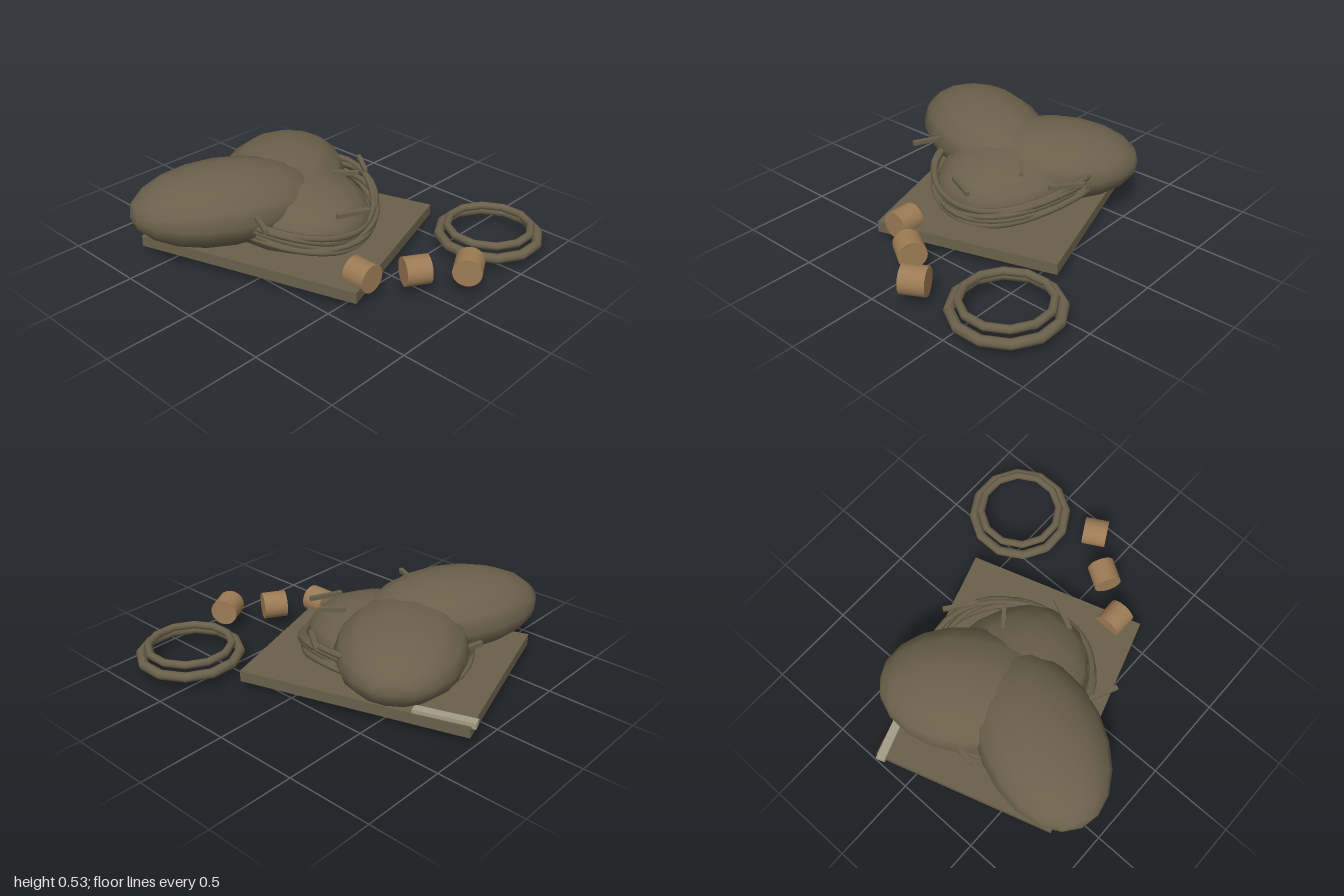
import * as THREE from 'three';

export function createModel() {
  const group = new THREE.Group();
  const mat = (name, color) => {
    const m = new THREE.MeshStandardMaterial({ color });
    m.name = name;
    return m;
  };
  const olive = mat('oliveCloth', 0x6a614b);
  const cork = mat('corkBrown', 0x9c7b55);
  const pale = mat('paleEdge', 0xa39c84);
  const add = (name, geo, material, x = 0, y = 0, z = 0, turn = 0) => {
    const mesh = new THREE.Mesh(geo, material);
    mesh.name = name;
    mesh.position.set(x, y, z);
    mesh.rotation.y = turn;
    group.add(mesh);
    return mesh;
  };

  // Ground sheet with a pale folded strip at one corner
  const turn = 0.307;
  add('groundSheet', new THREE.BoxGeometry(1.32, 0.065, 1.06), olive, -0.195, 0.0875, 0.085, turn);
  const fold = new THREE.BoxGeometry(0.34, 0.035, 0.05);
  add('foldedStrip', fold, pale, -0.835, 0.124, -0.235, 0.34);

  // Sacks: low-poly ellipsoids with their poles on the long axis
  const sack = (name, center, radii, angle) => {
    const geo = new THREE.SphereGeometry(1, 14, 10);
    geo.rotateX(Math.PI / 2);
    geo.scale(...radii);
    add(name, geo, olive, ...center, angle);
  };
  sack('frontSack', [-0.35, 0.325, 0.44], [0.345, 0.212, 0.525], -0.44);
  sack('rearSack', [-0.395, 0.285, -0.05], [0.365, 0.206, 0.5], 0.6);
  sack('middleSack', [-0.19, 0.217, 0.075], [0.4, 0.217, 0.49], Math.PI / 2);

  // Ropes wound around the sacks, dipping at both sides
  for (let i = 0; i < 5; i++) {
    const points = [];
    for (let k = 0; k < 20; k++) {
      const t = (k / 20) * Math.PI * 2;
      const wave = 0.012 * Math.sin(3 * t + i * 1.7);
      points.push(new THREE.Vector3(
        -0.19 + (0.475 + wave) * Math.cos(t),
        0.18 + i * 0.022 - 0.055 * Math.cos(2 * t) + wave,
        0.06 + (0.455 + wave) * Math.sin(t)
      ));
    }
    const path = new THREE.CatmullRomCurve3(points, true);
    add('rope' + (i + 1), new THREE.TubeGeometry(path, 40, 0.018, 6, true), olive);
  }

  // Short rope ends sticking out
  const ends = [
    [-0.02, 0.5, 0.13, 0.57, 0.365], [-0.16, -0.46, 0.0, -0.34, 0.35],
    [-0.04, -0.11, 0.07, -0.2, 0.41], [0.31, -0.03, 0.23, 0.15, 0.33],
    [-0.64, -0.08, -0.7, 0.25, 0.3],
  ];
  for (const [x1, z1, x2, z2, y] of ends) {
    const length = Math.hypot(x2 - x1, z2 - z1);
    add('ropeEnd', new THREE.BoxGeometry(length, 0.024, 0.024), olive,
      (x1 + x2) / 2, y, (z1 + z2) / 2, Math.atan2(z1 - z2, x2 - x1));
  }

  // Two stacked coils beside the sheet
  for (const [name, radius, tube, y] of [['lowerCoil', 0.282, 0.029, 0.086], ['upperCoil', 0.238, 0.023, 0.137]]) {
    const geo = new THREE.TorusGeometry(radius, tube, 8, 12);
    geo.rotateX(Math.PI / 2);
    add(name, geo, olive, 0.685, y, -0.63, Math.PI / 12);
  }

  // Three stubs lying on their sides
  for (const [x, z, angle] of [[0.515, 0.26, Math.PI / 2], [0.69, 0.035, -0.56], [0.87, -0.185, 0.51]]) {
    const geo = new THREE.CylinderGeometry(0.08, 0.08, 0.14, 20);
    geo.rotateX(Math.PI / 2);
    add('corkStub', geo, cork, x, 0.14, z, angle);
  }

  return group;
}
